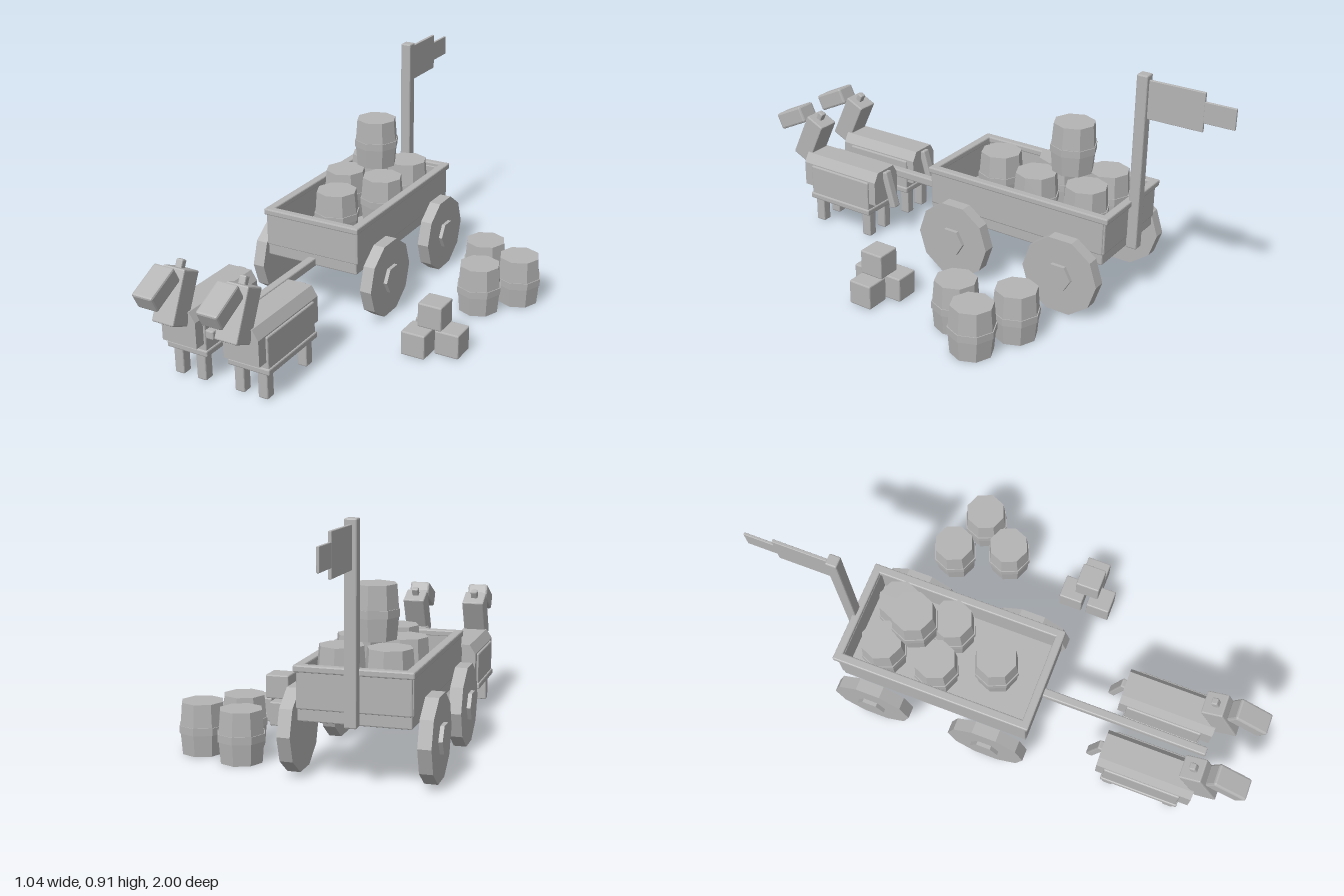
import * as THREE from 'three';
import { RoundedBoxGeometry } from 'three/addons/geometries/RoundedBoxGeometry.js';

const grey = new THREE.MeshStandardMaterial({ color: 0xb4b4b4, flatShading: true });
grey.name = 'plain grey';

function add(parent, name, geometry, x, y, z) {
  const mesh = new THREE.Mesh(geometry, grey);
  mesh.name = name;
  mesh.position.set(x, y, z);
  parent.add(mesh);
  return mesh;
}

// Box with slightly bevelled edges, given by its centre and size
function box(parent, name, [x, y, z], [w, h, d], tilt = 0, bevel = 0.005) {
  const r = Math.min(bevel, w * 0.3, h * 0.3, d * 0.3);
  const mesh = add(parent, name, new RoundedBoxGeometry(w, h, d, 1, r), x, y, z);
  mesh.rotation.x = tilt;
  return mesh;
}

function group(parent, name, x = 0, y = 0, z = 0) {
  const g = new THREE.Group();
  g.name = name;
  g.position.set(x, y, z);
  parent.add(g);
  return g;
}

// Eight-sided barrel with a bulging middle and a hoop
function barrel(parent, x, y, z) {
  const b = group(parent, 'barrel', x, y, z);
  const profile = [[0, 0], [0.081, 0], [0.088, 0.08], [0.088, 0.11], [0.081, 0.195], [0, 0.195]];
  add(b, 'barrelBody', new THREE.LatheGeometry(profile.map(p => new THREE.Vector2(...p)), 8), 0, 0, 0);
  add(b, 'barrelHoop', new THREE.CylinderGeometry(0.092, 0.092, 0.028, 8), 0, 0.095, 0);
}

// Ten-sided wheel with a six-sided hub on its outer face
function wheel(parent, side, z) {
  const w = group(parent, 'wheel', side * 0.245, 0.16, z);
  const disc = new THREE.CylinderGeometry(0.158, 0.158, 0.048, 10).rotateZ(Math.PI / 2);
  const hub = new THREE.CylinderGeometry(0.057, 0.057, 0.03, 6).rotateZ(Math.PI / 2);
  add(w, 'wheelDisc', disc, 0, 0, 0);
  add(w, 'wheelHub', hub, side * 0.024, 0, 0);
}

function wagon(parent) {
  const c = group(parent, 'wagon', -0.235);
  box(c, 'bedFloor', [0, 0.242, -0.235], [0.4, 0.05, 0.77]);
  for (const s of [-1, 1]) {
    box(c, 'sideWall', [s * 0.194, 0.33, -0.235], [0.022, 0.14, 0.77]);
    box(c, 'sideRail', [s * 0.193, 0.402, -0.237], [0.034, 0.025, 0.79]);
    for (const z of [0.003, -0.48]) wheel(c, s, z);
  }
  for (const [z, railZ] of [[0.14, 0.144], [-0.615, -0.622]]) {
    box(c, 'endWall', [0, 0.33, z], [0.4, 0.14, 0.022]);
    box(c, 'endRail', [0, 0.402, railZ], [0.42, 0.025, 0.032]);
  }
  box(c, 'drawBar', [0, 0.231, 0.48], [0.034, 0.034, 0.68]);

  // Flag on a tall post at the rear
  box(c, 'flagPost', [0, 0.565, -0.645], [0.044, 0.695, 0.044]);
  box(c, 'flag', [0, 0.819, -0.77], [0.012, 0.148, 0.225], 0, 0.002);
  box(c, 'flagTip', [0, 0.819, -0.935], [0.01, 0.08, 0.13], 0, 0.002);

  // Load of barrels
  for (const x of [-0.086, 0.086]) for (const z of [-0.48, -0.262]) barrel(c, x, 0.267, z);
  barrel(c, 0, 0.267, -0.046);
  barrel(c, 0, 0.468, -0.37);
}

function horse(parent, x) {
  const h = group(parent, 'horse', x);

  // Body with a chamfered back
  const half = [[0.074, 0.16], [0.074, 0.262], [0.05, 0.3]];
  const outline = [...half, ...half.map(([a, b]) => [-a, b]).reverse()];
  const section = new THREE.Shape(outline.map(p => new THREE.Vector2(...p)));
  add(h, 'body', new THREE.ExtrudeGeometry(section, { depth: 0.38, bevelEnabled: false }), 0, 0, 0.44);

  // Blanket with a wider hem
  box(h, 'blanket', [0, 0.185, 0.625], [0.164, 0.145, 0.305]);
  box(h, 'blanketHem', [0, 0.122, 0.625], [0.175, 0.025, 0.315]);

  for (const s of [-1, 1]) {
    for (const z of [0.75, 0.497]) box(h, 'leg', [s * 0.049, 0.062, z], [0.04, 0.116, 0.042]);
  }
  box(h, 'neck', [0, 0.353, 0.823], [0.092, 0.2, 0.088], -0.44);
  box(h, 'head', [0, 0.428, 0.92], [0.085, 0.07, 0.146], 0.45, 0.008);
  box(h, 'forelock', [0, 0.456, 0.783], [0.028, 0.04, 0.026], -0.44);
  box(h, 'tail', [0, 0.216, 0.416], [0.036, 0.158, 0.028], 0.28);
}

export function createModel() {
  const model = new THREE.Group();
  model.name = 'horseWagon';
  wagon(model);
  for (const x of [-0.367, -0.104]) horse(model, x);

  // Barrels and crates standing on the ground
  for (const [x, z] of [[0.245, -0.43], [0.425, -0.36], [0.317, -0.214]]) barrel(model, x, 0, z);
  for (const [x, y, z] of [[0.267, 0.051, 0.098], [0.267, 0.051, 0.217], [0.376, 0.051, 0.155], [0.304, 0.148, 0.155]]) {
    box(model, 'crate', [x, y, z], [0.098, 0.098, 0.098]);
  }
  return model;
}
